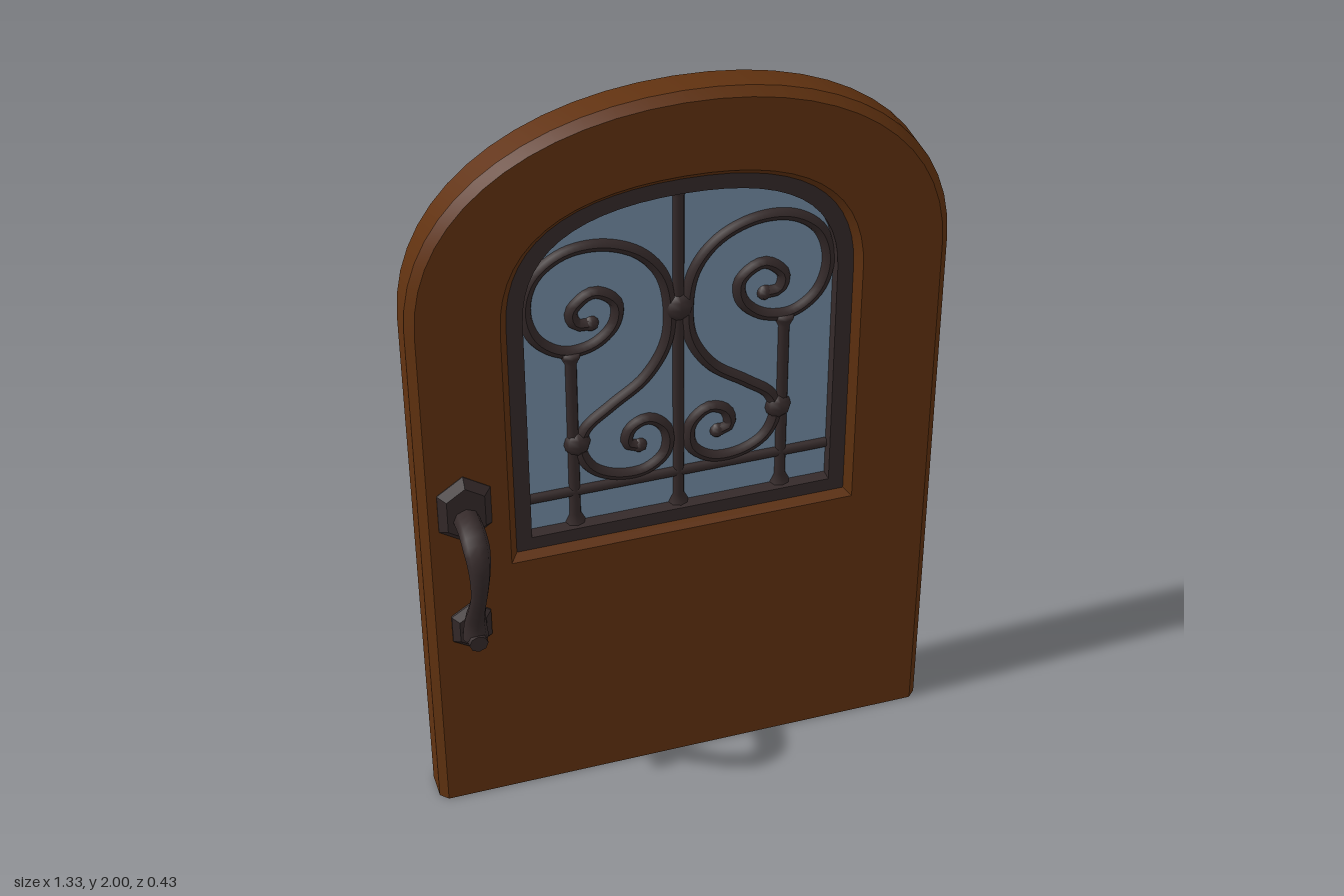
import * as THREE from 'three';
import { toCreasedNormals } from 'three/addons/utils/BufferGeometryUtils.js';

const wood = new THREE.MeshStandardMaterial({ color: 0x613210 });
wood.name = 'brown wood';
const iron = new THREE.MeshStandardMaterial({ color: 0x352a2a });
iron.name = 'dark iron';
const glass = new THREE.MeshStandardMaterial({ color: 0x748ea6 });
glass.name = 'blue glass';

function add(parent, name, geometry, material, x = 0, y = 0, z = 0) {
  const mesh = new THREE.Mesh(geometry, material);
  mesh.name = name;
  mesh.position.set(x, y, z);
  parent.add(mesh);
  return mesh;
}

// Arch-topped outline, square at the bottom
function arch(path, w, bottom, spring, top, k) {
  const c = spring + (top - spring) * k;
  path.moveTo(-w, bottom);
  path.lineTo(w, bottom);
  path.lineTo(w, spring);
  path.bezierCurveTo(w, c, w * k, top, 0, top);
  path.bezierCurveTo(-w * k, top, -w, c, -w, spring);
  path.lineTo(-w, bottom);
  return path;
}

// Extrusion centred on z = 0, optionally chamfered
function slab(shape, thickness, bevel = 0) {
  const geometry = new THREE.ExtrudeGeometry(shape, {
    depth: thickness - 2 * bevel,
    bevelEnabled: bevel > 0,
    bevelThickness: bevel,
    bevelSize: bevel,
    bevelOffset: -bevel,
    bevelSegments: 1,
    curveSegments: 14,
  });
  return geometry.translate(0, 0, bevel - thickness / 2);
}

// Tube along a smooth path, with a radius that may vary from 0 to 1
function rod(points, radius, segments, sides) {
  const curve = new THREE.CatmullRomCurve3(points, false, 'centripetal');
  const geometry = new THREE.TubeGeometry(curve, segments, 1, sides, false);
  const pos = geometry.attributes.position;
  const v = new THREE.Vector3();
  for (let i = 0; i <= segments; i++) {
    const centre = curve.getPointAt(i / segments);
    for (let j = 0; j <= sides; j++) {
      const n = i * (sides + 1) + j;
      v.fromBufferAttribute(pos, n).sub(centre).multiplyScalar(radius(i / segments)).add(centre);
      pos.setXYZ(n, v.x, v.y, v.z);
    }
  }
  geometry.computeVertexNormals();
  return geometry;
}

// Pointed six-sided plate outline
function hexagon(w, h) {
  const s = h * 0.55;
  return new THREE.Shape(
    [[0, h], [-w, s], [-w, -s], [0, -h], [w, -s], [w, s]].map(([x, y]) => new THREE.Vector2(x, y)));
}

// Vertical bar with flared ends
function bar(parent, name, x, y0, y1) {
  const profile = [[0, 0], [0.027, 0], [0.027, 0.012], [0.016, 0.035]];
  const points = profile.map(([r, y]) => new THREE.Vector2(r, y0 + y));
  profile.reverse().forEach(([r, y]) => points.push(new THREE.Vector2(r, y1 - y)));
  add(parent, name, new THREE.LatheGeometry(points, 8), iron, x);
}

function buildHandle() {
  const handle = new THREE.Group();
  // Wall plates
  add(handle, 'upperPlate', slab(hexagon(0.066, 0.1), 0.04, 0.019), iron, 0, 0.955, 0.056);
  add(handle, 'lowerPlate', slab(hexagon(0.05, 0.072), 0.04, 0.016), iron, 0, 0.585, 0.056);
  // Curved grip
  const path = [[0.05, 0.935], [0.135, 0.938], [0.178, 0.912], [0.19, 0.86],
    [0.172, 0.78], [0.132, 0.7], [0.1, 0.635], [0.095, 0.58]];
  const points = path.map(([z, y]) => new THREE.Vector3(0, y, z));
  const radius = (t) => 0.033 - 0.012 * Math.sin(Math.PI * Math.min(1, Math.max(0, (t - 0.25) / 0.75)));
  add(handle, 'grip', rod(points, radius, 28, 8), iron);
  // Lower post
  const post = new THREE.CylinderGeometry(0.024, 0.03, 0.08, 8).rotateX(Math.PI / 2);
  add(handle, 'post', post, iron, 0, 0.583, 0.09);
  return handle;
}

export function createModel() {
  const model = new THREE.Group();
  model.name = 'archedDoor';

  // Door leaf, chamfered except along the floor
  const leaf = arch(new THREE.Shape(), 0.665, -0.05, 1.48, 2, 0.6);
  leaf.holes.push(arch(new THREE.Path(), 0.425, 0.775, 1.45, 1.77, 0.67));
  const leafGeometry = slab(leaf, 0.11, 0.02);
  const pos = leafGeometry.attributes.position;
  for (let i = 0; i < pos.count; i++) pos.setY(i, Math.max(0, pos.getY(i)));
  add(model, 'doorLeaf', toCreasedNormals(leafGeometry, 0.6), wood);

  // Window
  const windowGroup = new THREE.Group();
  windowGroup.name = 'window';
  model.add(windowGroup);
  const frame = arch(new THREE.Shape(), 0.43, 0.77, 1.45, 1.775, 0.67);
  frame.holes.push(arch(new THREE.Path(), 0.387, 0.81, 1.45, 1.732, 0.67));
  add(windowGroup, 'windowFrame', toCreasedNormals(slab(frame, 0.074), 0.6), iron);
  const pane = arch(new THREE.Shape(), 0.4, 0.8, 1.45, 1.745, 0.67);
  add(windowGroup, 'pane', slab(pane, 0.008), glass);

  // Grille bars
  const grille = new THREE.Group();
  grille.name = 'grille';
  model.add(grille);
  bar(grille, 'centreBar', 0, 0.8, 1.745);
  const cross = new THREE.CylinderGeometry(0.016, 0.016, 0.79, 8).rotateZ(Math.PI / 2);
  add(grille, 'crossBar', cross, iron, 0, 0.905);
  add(grille, 'centreKnot', new THREE.SphereGeometry(0.04, 8, 6).scale(1, 1, 0.75), iron, 0, 1.4);

  // Mirrored scrolls: one long S from the upper curl to the lower curl
  const scroll = [
    [0.215, 1.395], [0.252, 1.4], [0.262, 1.44], [0.21, 1.482], [0.155, 1.445], [0.158, 1.385],
    [0.21, 1.335], [0.285, 1.327], [0.35, 1.375], [0.375, 1.46], [0.35, 1.55], [0.28, 1.603],
    [0.19, 1.61], [0.1, 1.572], [0.042, 1.5], [0.022, 1.4], [0.032, 1.3], [0.085, 1.21],
    [0.17, 1.145], [0.235, 1.09], [0.25, 1.03], [0.222, 0.967], [0.16, 0.932], [0.085, 0.932],
    [0.033, 0.975], [0.032, 1.045], [0.078, 1.085], [0.122, 1.065], [0.13, 1.02], [0.1, 1.008],
  ];
  for (const side of [-1, 1]) {
    const points = scroll.map(([x, y]) => new THREE.Vector3(side * x, y, 0));
    add(grille, 'scroll', rod(points, () => 0.018, 150, 8), iron);
    for (const end of [points[0], points[points.length - 1]]) {
      add(grille, 'scrollTip', new THREE.SphereGeometry(0.021, 8, 6), iron, end.x, end.y);
    }
    bar(grille, 'sideBar', side * 0.267, 0.8, 1.325);
    add(grille, 'sideKnot', new THREE.SphereGeometry(0.036, 8, 6).scale(1, 1, 0.8), iron, side * 0.257, 1.05);
  }

  // Handles on both faces
  for (const front of [true, false]) {
    const handle = buildHandle();
    handle.name = front ? 'frontHandle' : 'backHandle';
    handle.position.x = -0.555;
    if (!front) handle.rotation.y = Math.PI;
    model.add(handle);
  }
  return model;
}
